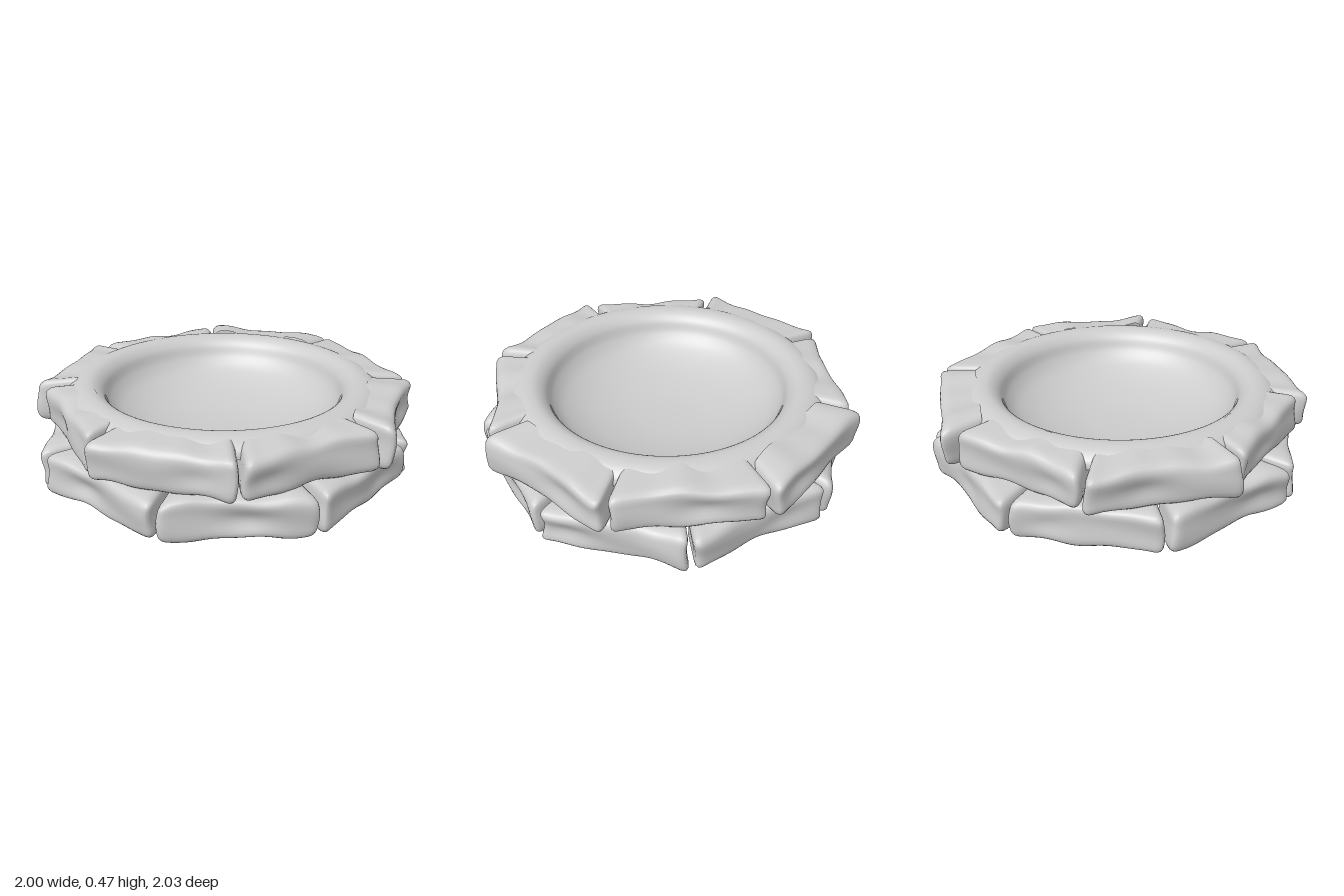
import * as THREE from 'three';
import { mergeVertices } from 'three/addons/utils/BufferGeometryUtils.js';

const material = new THREE.MeshStandardMaterial({ color: 0xcccccc, side: THREE.DoubleSide });
const DEPTH = 0.19, HEIGHT = 0.22, ROUND = 0.045;

// Rough rounded block: x along the ring, y up, z outward (outer face at z = 0), open at the back
function stoneGeometry(radius, seed) {
  const halfW = radius * Math.tan(Math.PI / 8) - 0.012;
  const box = new THREE.BoxGeometry(halfW * 2, HEIGHT, DEPTH, 32, 12, 8);
  const backFace = box.groups[5];
  box.setIndex(Array.from(box.index.array).slice(0, backFace.start));
  box.deleteAttribute('uv');
  box.deleteAttribute('normal');
  box.clearGroups();
  const geo = mergeVertices(box, 1e-5);

  const pos = geo.attributes.position;
  const p = new THREE.Vector3(), core = new THREE.Vector3(), out = new THREE.Vector3();
  const clamp = THREE.MathUtils.clamp;
  for (let i = 0; i < pos.count; i++) {
    p.fromBufferAttribute(pos, i);
    // round every edge except those of the open back
    core.set(
      clamp(p.x, -halfW + ROUND, halfW - ROUND),
      clamp(p.y, -HEIGHT / 2 + ROUND, HEIGHT / 2 - ROUND),
      Math.min(p.z, DEPTH / 2 - ROUND));
    out.subVectors(p, core);
    if (out.lengthSq() > 0) p.copy(core).addScaledVector(out.normalize(), ROUND);

    const u = p.x / halfW, v = p.y / (HEIGHT / 2), w = p.z / (DEPTH / 2);
    // hollowed outer face, with one dent off centre
    const dent = Math.exp(-(((u - 0.6 * Math.sin(seed * 2.3)) / 0.35) ** 2) - ((v + 0.1) / 0.5) ** 2);
    const outer = Math.max(0, w);
    p.z += outer * (0.02 * u * u - 0.022 * dent
      + 0.008 * Math.sin(4 * u + seed * 1.7) + 0.006 * Math.sin(3 * v + 2 * u + seed));
    // wavy top and bottom, sloping down towards the outside
    p.y += v * (0.007 * Math.sin(5 * u + seed * 2.1) + 0.004 * Math.sin(9 * u - seed))
      - 0.008 * w * Math.max(0, v);
    // slightly uneven ends, mitred towards the centre of the ring
    p.x += u * 0.008 * Math.sin(2.5 * v + seed * 1.3);
    p.z -= DEPTH / 2;
    p.x *= (radius + p.z) / radius;
    pos.setXYZ(i, p.x, p.y, p.z);
  }
  geo.computeVertexNormals();
  return geo;
}

function stoneRing(name, y, startAngle, radii, seedStart) {
  const ring = new THREE.Group();
  ring.name = name;
  radii.forEach((radius, i) => {
    const angle = startAngle + i * Math.PI / 4;
    const stone = new THREE.Mesh(stoneGeometry(radius, seedStart + i), material);
    stone.name = 'stone';
    stone.position.set(Math.sin(angle) * radius, y, Math.cos(angle) * radius);
    stone.rotation.y = angle;
    ring.add(stone);
  });
  return ring;
}

// Shallow bowl with a rolled rim resting on the stones
function bowl() {
  const curve = new THREE.SplineCurve([
    [0, 0.18], [0.2, 0.19], [0.4, 0.232], [0.54, 0.295], [0.61, 0.36], [0.645, 0.43],
    [0.69, 0.466], [0.74, 0.472], [0.79, 0.457], [0.83, 0.425], [0.84, 0.39],
  ].map(([r, y]) => new THREE.Vector2(r, y)));
  const points = curve.getPoints(60);
  points[0].x = 0;
  const mesh = new THREE.Mesh(new THREE.LatheGeometry(points, 96), material);
  mesh.name = 'bowl';
  return mesh;
}

export function createModel() {
  const model = new THREE.Group();
  model.name = 'firePit';
  model.add(
    // radii run from the front stone round through +x
    stoneRing('upperStones', 0.345, 0,
      [0.92, 0.905, 0.94, 0.925, 0.945, 0.89, 0.925, 0.875], 1),
    stoneRing('lowerStones', 0.128, Math.PI / 8,
      [0.925, 0.92, 0.925, 0.92, 0.93, 0.92, 0.925, 0.92], 11),
    bowl(),
  );
  return model;
}
